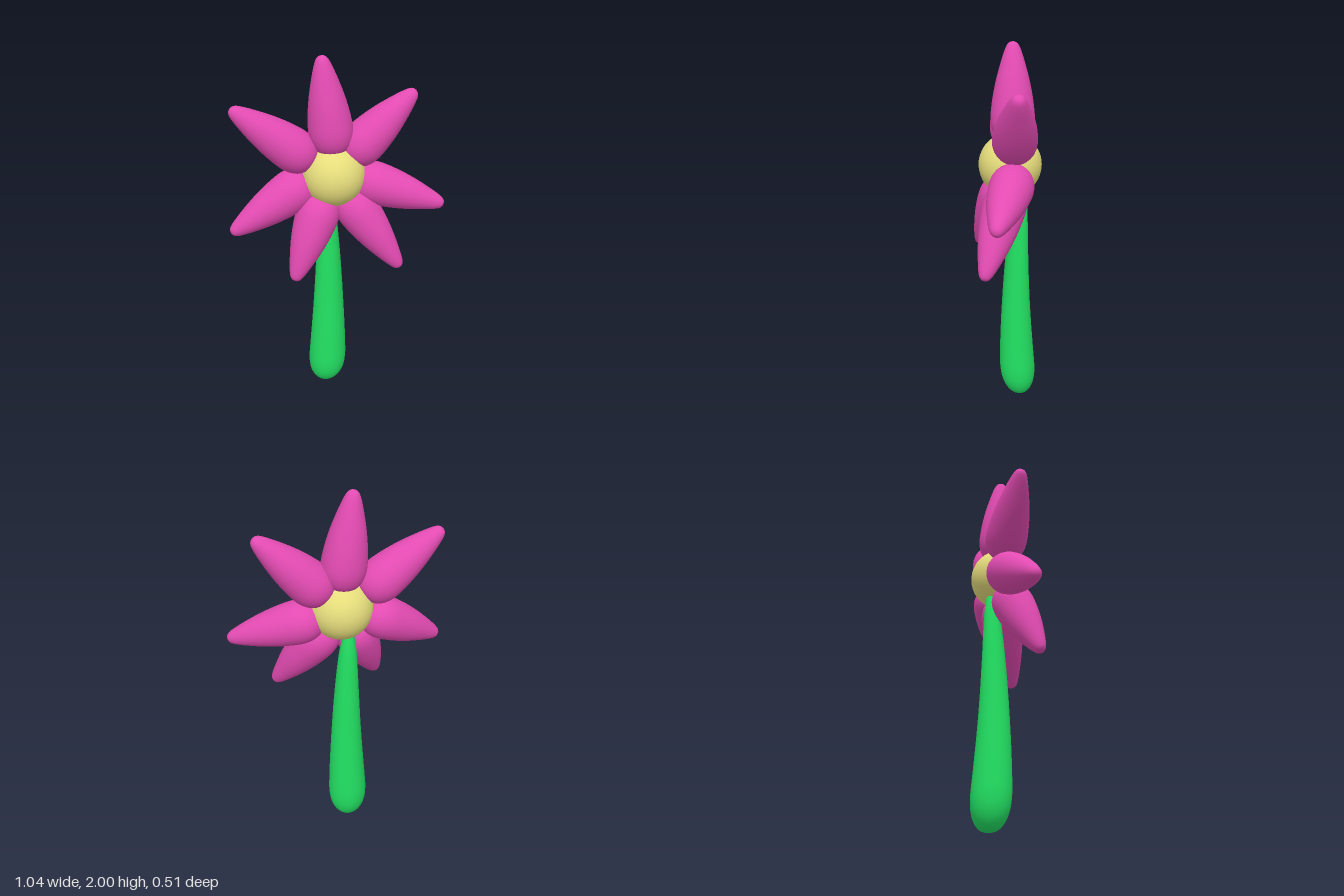
import * as THREE from 'three';

const pink = new THREE.MeshStandardMaterial({ color: 0xe34bb2 });
const yellow = new THREE.MeshStandardMaterial({ color: 0xe6dd7c });
const green = new THREE.MeshStandardMaterial({ color: 0x22e062 });

// Smooth round bulb turned from a few [radius, height] points, bottom to top
function bulb(profile, segments = 28) {
  const curve = new THREE.SplineCurve(profile.map(([r, h]) => new THREE.Vector2(r, h)));
  const points = curve.getPoints(36).map((p) => new THREE.Vector2(Math.max(p.x, 0), p.y));
  return new THREE.LatheGeometry(points, segments);
}

export function createModel() {
  const flower = new THREE.Group();
  flower.name = 'flower';
  const center = new THREE.Vector3(0.013, 1.39, -0.043);

  // Ball in the middle of the blossom
  const heart = new THREE.Mesh(new THREE.SphereGeometry(0.163, 32, 20), yellow);
  heart.name = 'flowerCenter';
  heart.position.copy(center);
  flower.add(heart);

  // Stem: thick rounded foot, narrowing to a point behind the ball, bowed slightly forward
  const stemShape = bulb([
    [0, 0], [0.055, 0.018], [0.094, 0.075], [0.11, 0.16], [0.105, 0.3], [0.086, 0.6],
    [0.067, 0.9], [0.05, 1.12], [0.037, 1.21], [0.02, 1.28], [0, 1.32],
  ]);
  const position = stemShape.attributes.position;
  for (let i = 0; i < position.count; i++) {
    const bow = 0.06 * (position.getY(i) - 0.65) ** 2;
    position.setZ(i, position.getZ(i) * 0.88 - 0.086 - bow);
  }
  stemShape.computeBoundingSphere();
  const stem = new THREE.Mesh(stemShape, green);
  stem.name = 'stem';
  stem.position.x = -0.002;
  stem.rotation.z = -0.007;
  flower.add(stem);

  // Petals: one shape, pointing from a root near the ball's centre to each tip
  const petalShape = bulb([
    [0, 0.105], [0.052, 0.117], [0.093, 0.155], [0.112, 0.22], [0.106, 0.31],
    [0.088, 0.41], [0.061, 0.51], [0.037, 0.58], [0.02, 0.605], [0, 0.612],
  ]);
  const petals = [
    { tip: [-0.035, 2.0, -0.075], shift: [0.018, 0, -0.005] },
    { tip: [0.408, 1.808, 0.083], shift: [0, 0, -0.015] },
    { tip: [0.515, 1.222, 0.238], shift: [0.01, 0.005, -0.05] },
    { tip: [0.28, 0.887, 0.208], shift: [0, 0, -0.035] },
    { tip: [-0.262, 0.868, 0.03], shift: [0, 0, -0.02] },
    { tip: [-0.517, 1.125, -0.172], shift: [0, 0.03, -0.05] },
    { tip: [-0.457, 1.766, -0.218], shift: [-0.01, 0, -0.025] },
  ];
  const up = new THREE.Vector3(0, 1, 0);
  petals.forEach(({ tip, shift }, i) => {
    const petal = new THREE.Mesh(petalShape, pink);
    petal.name = `petal${i + 1}`;
    petal.position.set(...shift).add(center);
    const direction = new THREE.Vector3(...tip).sub(petal.position);
    petal.scale.y = direction.length() / 0.612;
    petal.quaternion.setFromUnitVectors(up, direction.normalize());
    flower.add(petal);
  });

  return flower;
}
